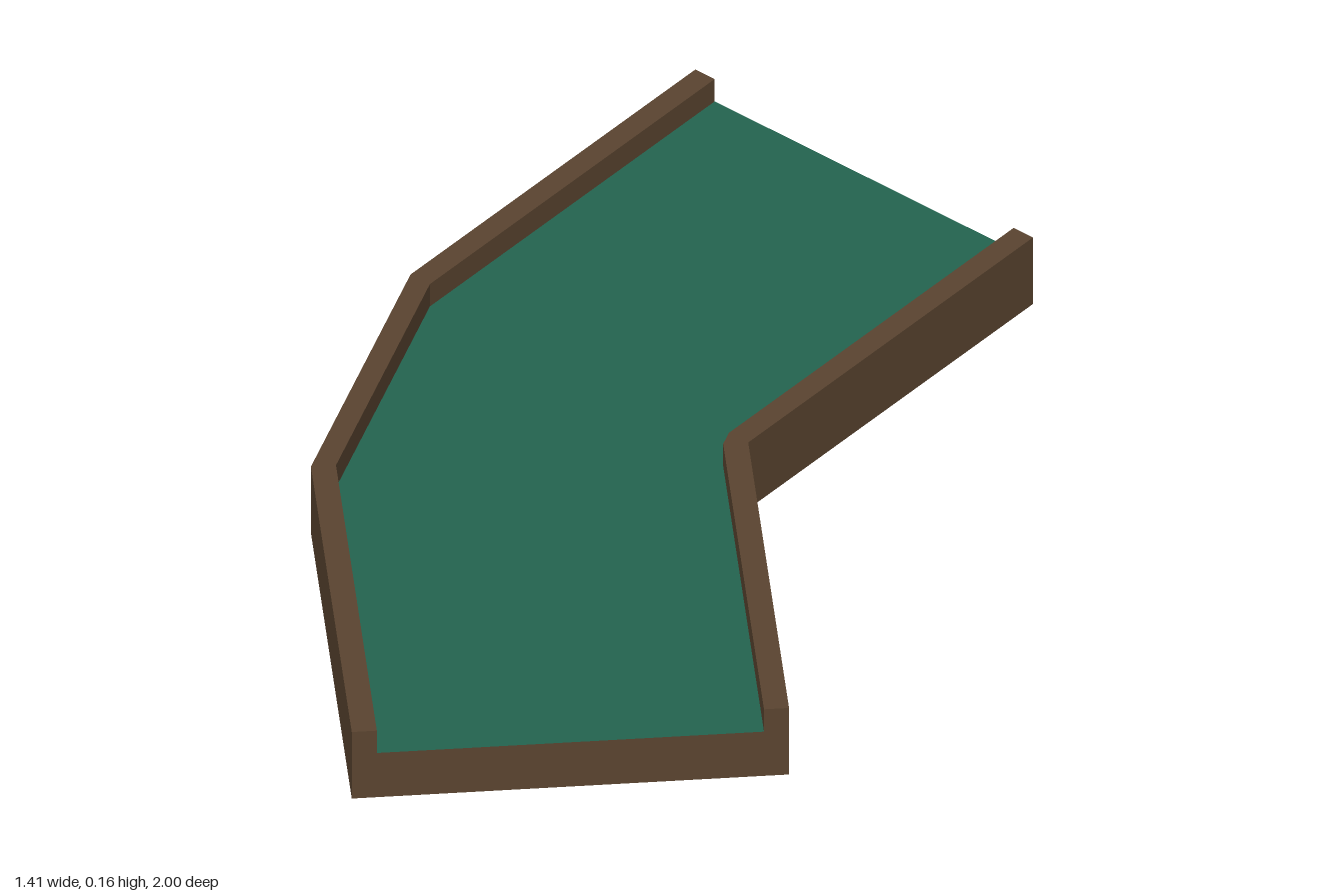
import * as THREE from 'three';

const R = 0.82, W = 0.047, L = 0.832;    // track width, rail width, straight length
const FLOOR = 0.103, TOP = 0.155;        // floor and rail heights
const PIVOT = { x: 0.116, z: 0.168 };    // inner corner of the bend

// U-shaped cross-section: distance from the inner side, height
const section = [
  [0, 0], [R, 0], [R, TOP], [R - W, TOP],
  [R - W, FLOOR], [W, FLOOR], [W, TOP], [0, TOP],
];
const FLOOR_EDGE = 4;

// Stations along the track: turn angle, distance along the heading
const stations = [[0, -L], [0, 0], [Math.PI / 4, 0], [Math.PI / 4, L]];

function point(station, i) {
  const [a, s] = stations[station];
  const [r, y] = section[i % section.length];
  return [
    PIVOT.x - r * Math.cos(a) + s * Math.sin(a), y,
    PIVOT.z - r * Math.sin(a) - s * Math.cos(a),
  ];
}

function flatMesh(name, quads, material) {
  const positions = [];
  for (const [a, b, c, d] of quads) positions.push(...a, ...b, ...c, ...a, ...c, ...d);
  const geometry = new THREE.BufferGeometry();
  geometry.setAttribute('position', new THREE.Float32BufferAttribute(positions, 3));
  geometry.computeVertexNormals();
  const mesh = new THREE.Mesh(geometry, material);
  mesh.name = name;
  return mesh;
}

export function createModel() {
  const wood = new THREE.MeshStandardMaterial({ name: 'brown wood', color: 0x5a4430 });
  const felt = new THREE.MeshStandardMaterial({ name: 'green felt', color: 0x236450 });
  const frame = [], floor = [];

  // Sweep every section edge along the bend
  for (let s = 0; s < stations.length - 1; s++) {
    for (let i = 0; i < section.length; i++) {
      // The inner side only pivots at the bend, so it has no face there
      if (s === 1 && i === section.length - 1) continue;
      const quad = [point(s, i), point(s, i + 1), point(s + 1, i + 1), point(s + 1, i)];
      (i === FLOOR_EDGE ? floor : frame).push(quad);
    }
  }

  // End caps: floor slab and the two rails
  for (const cap of [[0, 1, 4, 5], [1, 2, 3, 4], [0, 5, 6, 7]]) {
    frame.push([...cap].reverse().map((i) => point(0, i)));
    frame.push(cap.map((i) => point(stations.length - 1, i)));
  }

  const group = new THREE.Group();
  group.name = 'bentTrack';
  group.add(flatMesh('frame', frame, wood), flatMesh('floor', floor, felt));
  return group;
}
